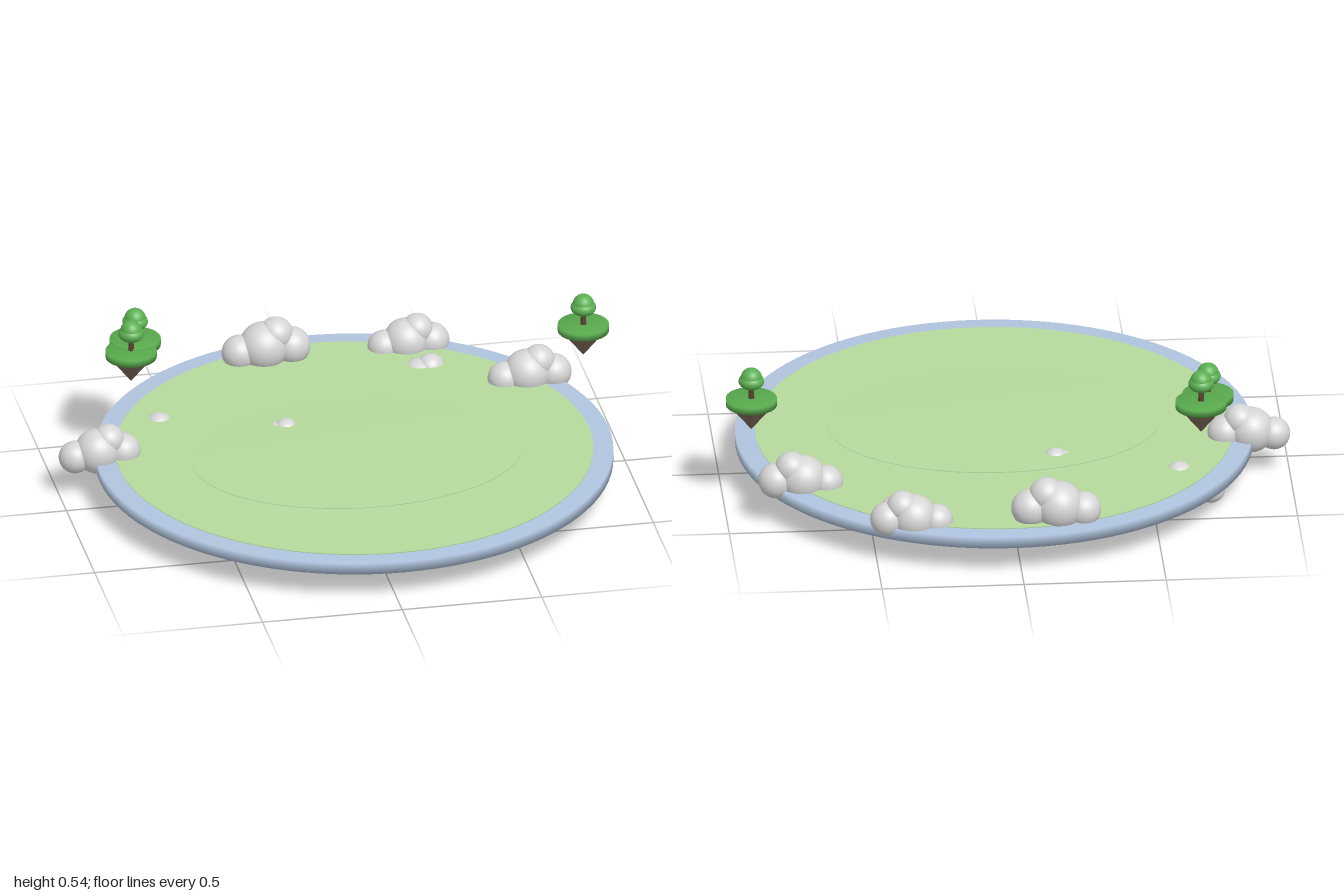
import * as THREE from 'three';

const mat = (name, color, extra = {}) => {
  const m = new THREE.MeshStandardMaterial({ color, ...extra });
  m.name = name;
  return m;
};

export function createModel() {
  const model = new THREE.Group();
  model.name = 'floatingLand';
  const M = {
    rim: mat('steelBlue', 0xb0c4de),
    land: mat('paleGreen', 0xb5d99c),
    cloud: mat('cloudGrey', 0xd6d6d6),
    grass: mat('grassGreen', 0x58a84c),
    leaf: mat('leafGreen', 0x5cb052),
    rock: mat('rockBrown', 0x7a6455, { flatShading: true }),
    trunk: mat('trunkBrown', 0x5a4030),
  };

  const add = (parent, name, geometry, material, x = 0, y = 0, z = 0) => {
    const mesh = new THREE.Mesh(geometry, material);
    mesh.name = name;
    mesh.position.set(x, y, z);
    parent.add(mesh);
    return mesh;
  };

  // Softly shaded disc: normals blend over its edges
  const disc = (r, y0, y1, sides = 96) => new THREE.LatheGeometry([
    new THREE.Vector2(0, y0), new THREE.Vector2(r, y0),
    new THREE.Vector2(r, y1), new THREE.Vector2(0, y1),
  ], sides);

  // Base plate, meadow and raised inner meadow
  add(model, 'basePlate', disc(0.91, 0.1, 0.142), M.rim, 0.03);
  add(model, 'meadow', disc(0.84, 0.138, 0.146), M.land, 0.03);
  add(model, 'innerMeadow', disc(0.587, 0.14, 0.15), M.land, 0.03, 0, 0.05).scale.z = 0.73;

  // Clouds: [x, y, z, radius of the main puff]
  const puff = new THREE.SphereGeometry(1, 32, 20);
  const puffs = [[0, 0, 1], [-1.0, -0.2, 0.72], [1.15, -0.08, 0.77], [0.5, 0.5, 0.7]];
  const clouds = [
    [-0.865, 0.163, -0.12, 0.08], [-0.14, 0.192, -0.76, 0.087],
    [0.37, 0.165, -0.76, 0.08], [0.735, 0.17, -0.42, 0.082],
    [-0.63, 0.073, -0.37, 0.073], [-0.2, 0.088, -0.23, 0.064], [0.39, 0.088, -0.61, 0.073],
  ];
  for (const [x, y, z, r] of clouds) {
    const cloud = new THREE.Group();
    cloud.name = 'cloud';
    cloud.position.set(x, y, z);
    cloud.scale.setScalar(r);
    for (const [px, py, pr] of puffs) add(cloud, 'cloudPuff', puff, M.cloud, px, py, 0).scale.setScalar(pr);
    model.add(cloud);
  }

  // Floating islets, each with one tree; y is the grass surface
  const islets = [[-0.665, 0.43, -0.44], [-0.695, 0.423, -0.363], [0.905, 0.415, -0.268]];
  const turf = disc(0.09, -0.026, 0, 32);
  const rock = new THREE.ConeGeometry(0.08, 0.1, 10).rotateX(Math.PI);
  const trunk = new THREE.CylinderGeometry(0.008, 0.011, 0.05, 12);
  for (const [x, y, z] of islets) {
    const islet = new THREE.Group();
    islet.name = 'islet';
    islet.position.set(x, y, z);
    add(islet, 'turf', turf, M.grass);
    add(islet, 'rock', rock, M.rock, 0, -0.071, 0);
    add(islet, 'trunk', trunk, M.trunk, 0, 0.022, 0);
    add(islet, 'lowerCrown', puff, M.leaf, 0, 0.065, 0).scale.set(0.045, 0.03, 0.045);
    add(islet, 'upperCrown', puff, M.leaf, 0, 0.076, 0).scale.setScalar(0.038);
    model.add(islet);
  }
  return model;
}
